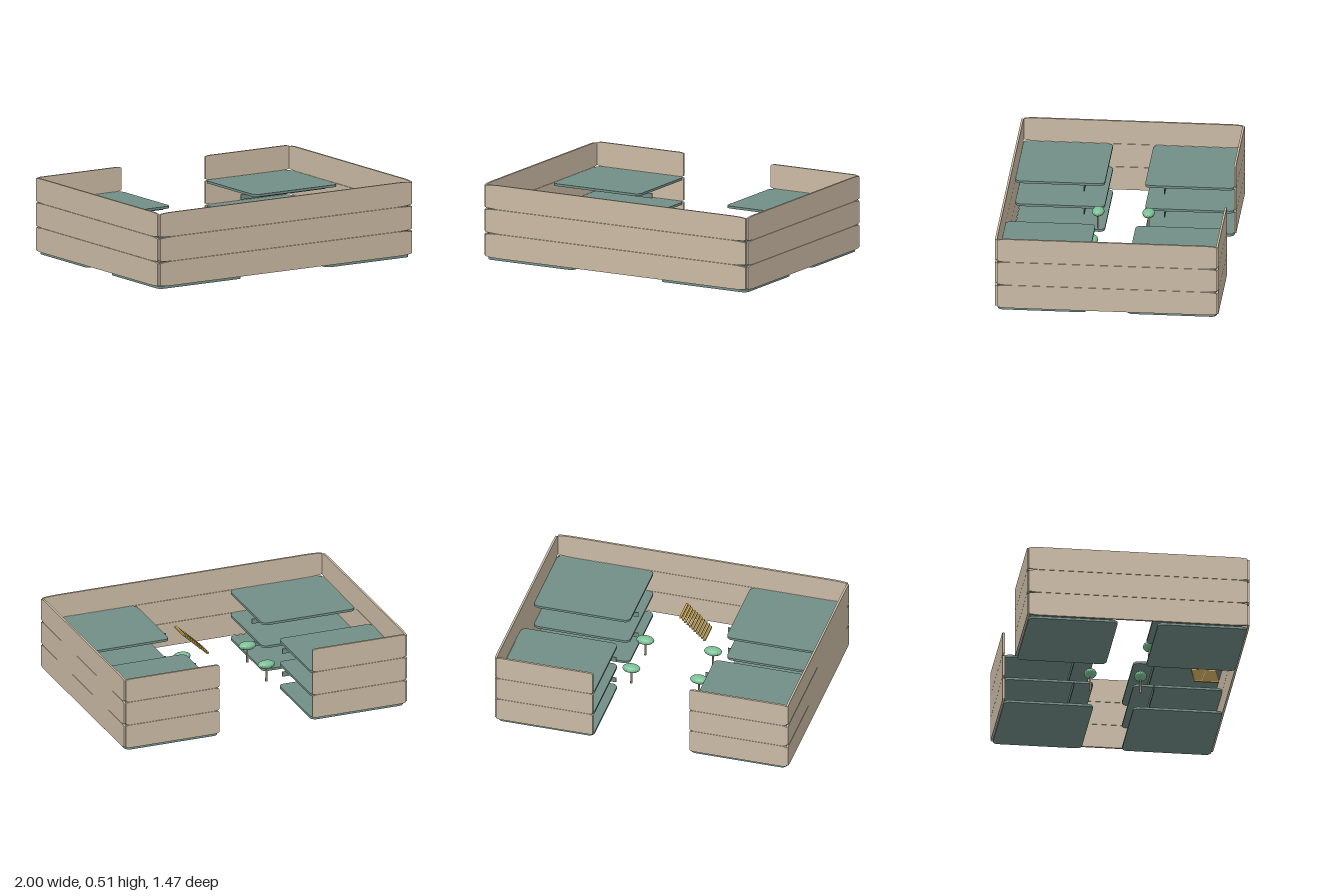
import * as THREE from 'three';

const mat = (name, color, flat = false) => {
  const m = new THREE.MeshStandardMaterial({ color, flatShading: flat });
  m.name = name;
  return m;
};

// Unit plate in XY with rounded corners, one unit thick along Z, centred
function unitPlate(r = 0.06) {
  const s = new THREE.Shape();
  const h = 0.5, c = h - r;
  s.absarc(c, c, r, 0, Math.PI / 2);
  s.absarc(-c, c, r, Math.PI / 2, Math.PI);
  s.absarc(-c, -c, r, Math.PI, Math.PI * 1.5);
  s.absarc(c, -c, r, Math.PI * 1.5, Math.PI * 2);
  return new THREE.ExtrudeGeometry(s, { depth: 1, bevelEnabled: false, curveSegments: 8 }).translate(0, 0, -0.5);
}

export function createModel() {
  const model = new THREE.Group();
  model.name = 'courtyardBuilding';
  const wallMat = mat('wall beige', 0xcbbba5);
  const floorMat = mat('floor teal', 0x728f87);
  const stairMat = mat('stair gold', 0xc9a550);
  const leafMat = mat('leaf green', 0x7cc096, true);
  const trunkMat = mat('trunk tan', 0xb09a82);

  const add = (name, geo, material, x, y, z) => {
    const mesh = new THREE.Mesh(geo, material);
    mesh.name = name;
    mesh.position.set(x, y, z);
    model.add(mesh);
    return mesh;
  };

  const PITCH = 0.164, PANEL = 0.162, THICK = 0.014;
  const frontPanel = unitPlate().scale(1.975, PANEL, THICK);
  const backPanel = unitPlate().scale(0.66, PANEL, THICK);
  const sidePanel = unitPlate().scale(1.445, PANEL, THICK).rotateY(Math.PI / 2);
  const slab = unitPlate().scale(0.655, 0.588, 0.016).rotateX(-Math.PI / 2);
  const beam = new THREE.BoxGeometry(0.66, 0.034, 0.006);

  // Three storeys of wall panels, floor slabs and the beams under upper floors
  for (let level = 0; level < 3; level++) {
    const floorY = 0.008 + level * PITCH;
    const wallY = 0.018 + PANEL / 2 + level * PITCH;
    add('frontWall', frontPanel, wallMat, 0, wallY, 0.725);
    for (const side of [-1, 1]) {
      add('sideWall', sidePanel, wallMat, side * 0.993, wallY, -0.005);
      add('backWall', backPanel, wallMat, side * 0.66, wallY, -0.729);
      for (const z of [-0.43, 0.423]) {
        add('floorSlab', slab, floorMat, side * 0.657, floorY, z);
        if (level > 0) add('floorBeam', beam, floorMat, side * 0.635, floorY - 0.025, z < 0 ? -0.268 : 0.261);
      }
    }
  }

  // Open staircase climbing towards +x
  const STEPS = 11;
  const tread = new THREE.BoxGeometry(0.0145, 0.011, 0.164);
  for (let i = 0; i < STEPS; i++) {
    const t = i / (STEPS - 1);
    add('stairTread', tread, stairMat, -0.081 + 0.162 * t, 0.033 + 0.15 * t, 0.56);
  }

  // Four courtyard trees
  const canopy = new THREE.IcosahedronGeometry(1, 2).scale(0.06, 0.028, 0.041);
  const trunk = new THREE.CylinderGeometry(0.006, 0.007, 0.11, 10);
  for (const x of [-0.232, 0.23]) {
    for (const z of [-0.17, 0.162]) {
      add('treeTrunk', trunk, trunkMat, x, 0.125, z);
      add('treeCanopy', canopy, leafMat, x, 0.19, z);
    }
  }
  return model;
}
